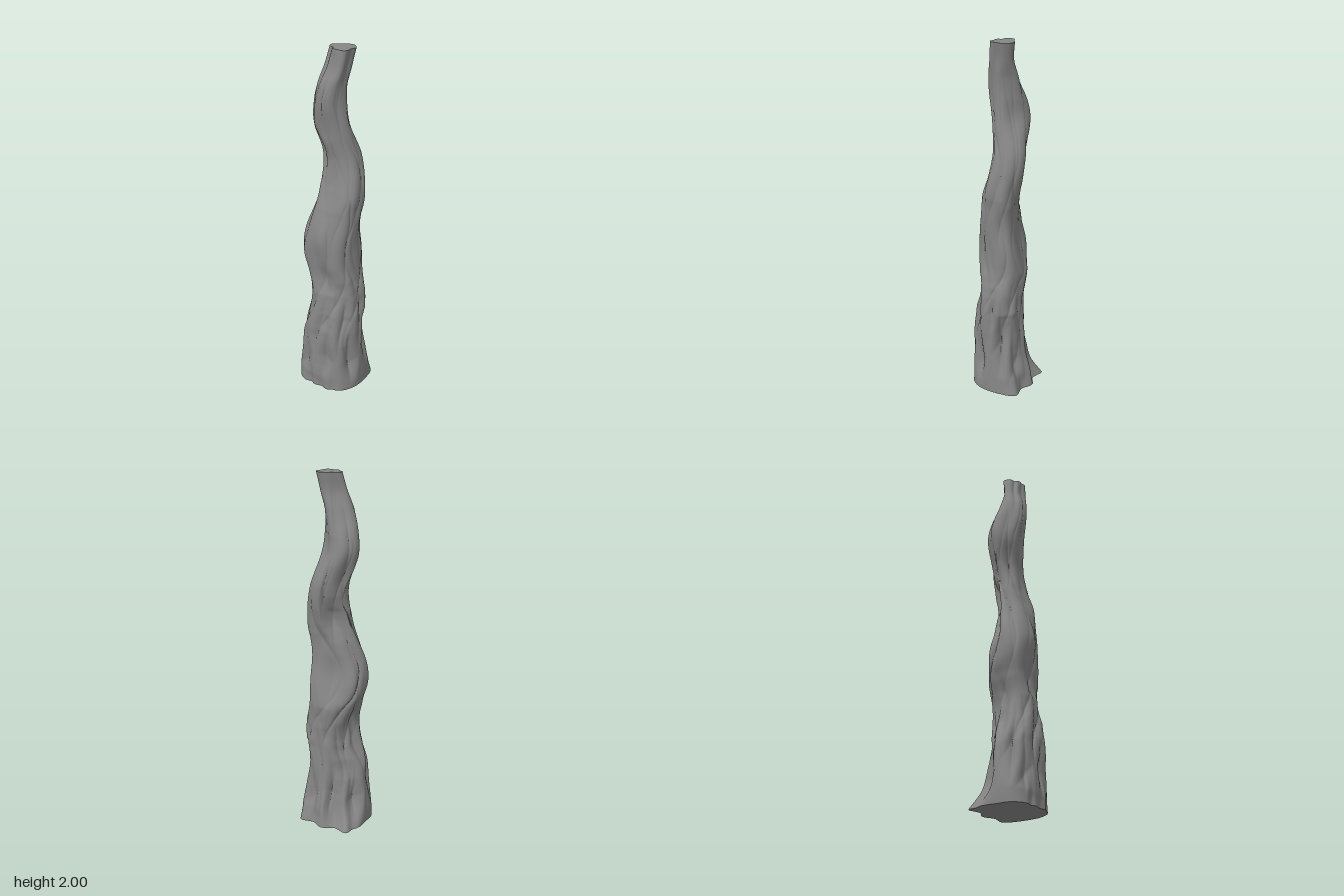
import * as THREE from 'three';

const SEG = 180, ROWS = 180, TAU = Math.PI * 2;

// Trunk extents by height: y, left edge, right edge, back edge, front edge
const extents = [
  [0, -0.185, 0.185, -0.175, 0.172], [0.1, -0.182, 0.184, -0.16, 0.172],
  [0.2, -0.175, 0.18, -0.135, 0.166], [0.35, -0.155, 0.177, -0.12, 0.16],
  [0.5, -0.112, 0.176, -0.115, 0.148], [0.6, -0.096, 0.166, -0.12, 0.134],
  [0.7, -0.12, 0.145, -0.125, 0.123], [0.8, -0.154, 0.142, -0.112, 0.132],
  [0.95, -0.156, 0.142, -0.086, 0.147], [1.1, -0.113, 0.152, -0.088, 0.106],
  [1.2, -0.088, 0.157, -0.11, 0.08], [1.3, -0.073, 0.146, -0.131, 0.053],
  [1.4, -0.083, 0.122, -0.136, 0.046], [1.5, -0.12, 0.1, -0.118, 0.065],
  [1.6, -0.141, 0.081, -0.104, 0.081], [1.7, -0.128, 0.071, -0.087, 0.095],
  [1.8, -0.095, 0.071, -0.075, 0.09], [1.9, -0.06, 0.084, -0.063, 0.063],
  [2, -0.036, 0.105, -0.077, 0.051],
];

// Reach along the diagonals: y, then +x+z, -x+z, -x-z, +x-z
const diagonals = [
  [0, 0.19, 0.2, 0.222, 0.215], [0.1, 0.187, 0.195, 0.155, 0.19], [0.2, 0.182, 0.19, 0.13, 0.172],
  [0.35, 0.175, 0.18, 0.105, 0.152], [0.5, 0.165, 0.145, 0.09, 0.163], [0.6, 0.16, 0.138, 0.097, 0.16],
  [0.7, 0.153, 0.146, 0.118, 0.153], [0.85, 0.148, 0.174, 0.135, 0.15], [1, 0.148, 0.145, 0.097, 0.133],
  [1.2, 0.137, 0.085, 0.063, 0.155], [1.4, 0.085, 0.053, 0.092, 0.145], [1.6, 0.074, 0.108, 0.136, 0.07],
  [1.8, 0.087, 0.09, 0.072, 0.064], [1.9, 0.092, 0.053, 0.045, 0.085], [2, 0.093, 0.025, 0.046, 0.105],
];

// Root flare and cut top outlines: angle in degrees from +x towards +z, radius
const rootOutline = [
  [0, 0.187], [25, 0.195], [50, 0.195], [60, 0.182], [70, 0.181], [86, 0.156], [105, 0.168],
  [113, 0.164], [125, 0.19], [150, 0.205], [175, 0.185], [200, 0.198], [213, 0.2], [226, 0.225],
  [234, 0.188], [242, 0.162], [270, 0.175], [298, 0.163], [306, 0.185], [314, 0.215],
  [324, 0.215], [340, 0.197],
];
const topOutline = [
  [11, 0.062], [26, 0.07], [43, 0.077], [61, 0.071], [77, 0.057], [95, 0.058], [116, 0.057],
  [134, 0.045], [154, 0.06], [170, 0.067], [200, 0.07], [224, 0.054], [254, 0.055],
  [295, 0.072], [319, 0.073], [338, 0.075],
];

function curveThrough(rows) {
  const n = rows[0].length - 1;
  const f = new THREE.CubicInterpolant(rows.map(r => r[0]), rows.flatMap(r => r.slice(1)), n, new Float32Array(n));
  return t => f.evaluate(t);
}

function radial(outline, unit) {
  const turn = d => outline.map(([a, r]) => [a + d, r / unit]);
  const f = curveThrough([...turn(-360), ...turn(0), ...turn(360)]);
  return a => f(a * 360 / TAU)[0];
}

const edges = curveThrough(extents);
const reach = curveThrough(diagonals);
const root = radial(rootOutline, 0.185);
const top = radial(topOutline, 0.066);
const smooth = THREE.MathUtils.smoothstep;

// Rounded strands separated by narrow grooves
const strand = p => Math.sqrt(Math.abs(Math.sin(p)) + 0.02) - 0.75;

// Bark strands that wander around the trunk as they climb
function barkRadius(a, y) {
  const wander = 0.8 * Math.sin(y * 4.2 - 2.4) + 0.15 * Math.sin(y * 8 + 1);
  const fade = 0.7 + 0.3 * Math.sin(3 * a + y * 5);
  return 1
    + 0.16 * fade * strand(3 * a + 2.5 * wander + 0.4 * Math.sin(2 * a + y * 6))
    + 0.06 * strand(4 * a - 1.6 * wander + 0.7 * Math.sin(y * 7 + a))
    + 0.035 * Math.sin(2 * a + y * 8) + 0.025 * Math.sin(5 * a - y * 13);
}

// Interwoven root strands leaning both ways above the flare
function rootFolds(a, y) {
  const bend = 0.5 * Math.sin(2 * a + 1);
  const rise = Math.abs(Math.sin(4 * a + 6 * y + bend));
  const fall = Math.abs(Math.sin(3 * a - 5 * y - bend));
  return 0.2 * (Math.max(rise, fall) - 0.8) * smooth(y, 0, 0.15) * (1 - smooth(y, 0.4, 0.8));
}

// Scale a cross-section to the trunk extents
function fitEdges(pts, [x0, x1, z0, z1]) {
  const { min, max } = new THREE.Box2().setFromPoints(pts);
  for (const p of pts) {
    p.set(THREE.MathUtils.mapLinear(p.x, min.x, max.x, x0, x1), THREE.MathUtils.mapLinear(p.y, min.y, max.y, z0, z1));
  }
}

// Push or pull the four diagonal sides of a cross-section to their reach
function fitDiagonals(pts, targets) {
  targets.forEach((target, k) => {
    const angle = (k + 0.5) * TAU / 4;
    const dir = new THREE.Vector2(Math.cos(angle), Math.sin(angle));
    const gap = target - Math.max(...pts.map(p => p.dot(dir)));
    pts.forEach((p, i) => {
      const c = Math.cos(i / SEG * TAU - angle);
      if (c > Math.SQRT1_2) p.addScaledVector(dir, gap * (2 * c * c - 1));
    });
  });
}

// One cross-section of the trunk
function ring(y) {
  const rootMix = 1 - smooth(y, 0, 0.35), topMix = smooth(y, 1.6, 2);
  const pts = [];
  for (let i = 0; i < SEG; i++) {
    const a = i / SEG * TAU;
    let r = THREE.MathUtils.lerp(barkRadius(a, y), root(a), rootMix);
    r = THREE.MathUtils.lerp(r, top(a), topMix) + rootFolds(a, y);
    pts.push(new THREE.Vector2(r * Math.cos(a), r * Math.sin(a)));
  }
  fitEdges(pts, edges(y));
  for (let pass = 0; pass < 3; pass++) {
    fitDiagonals(pts, reach(y));
    fitEdges(pts, edges(y));
  }
  return pts.map(p => [p.x, y, p.y]);
}

function trunkGeometry() {
  const pos = [], index = [];
  for (let j = 0; j <= ROWS; j++) pos.push(...ring(2 * j / ROWS).flat());
  for (let j = 0; j < ROWS; j++) {
    for (let i = 0; i < SEG; i++) {
      const a = j * SEG + i, b = j * SEG + (i + 1) % SEG;
      index.push(a, a + SEG, b, b, a + SEG, b + SEG);
    }
  }
  return indexed(pos, index);
}

// Flat end closing a ring
function capGeometry(y, up) {
  const pts = ring(y), [x0, x1, z0, z1] = edges(y), index = [];
  for (let i = 0; i < SEG; i++) {
    const n = (i + 1) % SEG;
    index.push(SEG, ...(up ? [n, i] : [i, n]));
  }
  return indexed([...pts.flat(), (x0 + x1) / 2, y, (z0 + z1) / 2], index);
}

function indexed(pos, index) {
  const g = new THREE.BufferGeometry();
  g.setAttribute('position', new THREE.Float32BufferAttribute(pos, 3));
  g.setIndex(index);
  g.computeVertexNormals();
  return g;
}

export function createModel() {
  const model = new THREE.Group();
  model.name = 'twistedTrunk';
  const bark = new THREE.MeshStandardMaterial({ color: 0x868686 });
  const add = (name, geometry) => {
    const mesh = new THREE.Mesh(geometry, bark);
    mesh.name = name;
    model.add(mesh);
  };
  add('trunkBark', trunkGeometry());
  add('cutTop', capGeometry(2, true));
  add('rootBase', capGeometry(0, false));
  return model;
}
